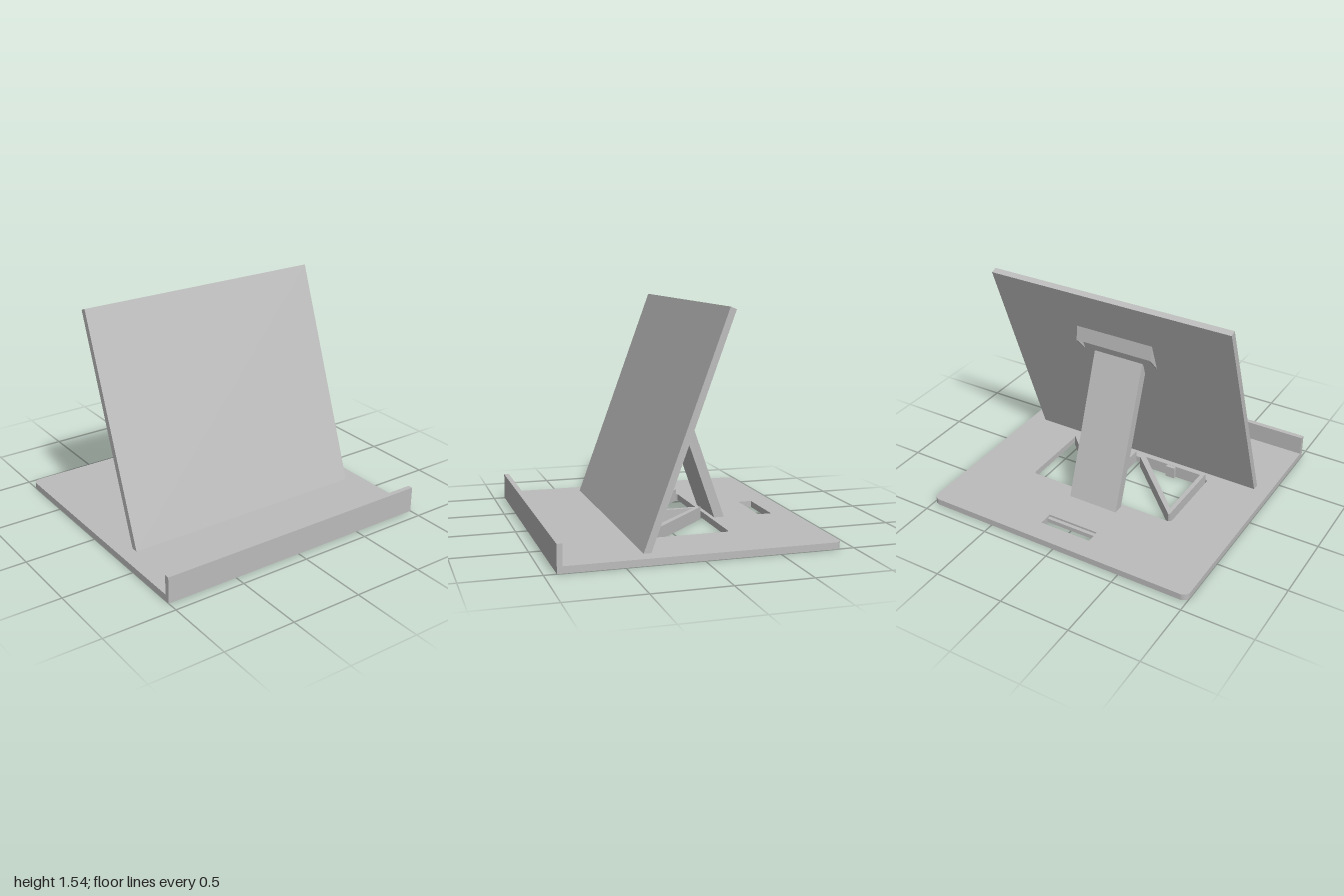
import * as THREE from 'three';

const grey = new THREE.MeshStandardMaterial({ color: 0xbcbcbc });
grey.name = 'plain grey';

const V = (list) => list.map(([a, b]) => new THREE.Vector2(a, b));

// Side profile of [z, y] points, extruded across x and centred on cx
function sideProfile(name, points, width, cx = 0) {
  const geo = new THREE.ExtrudeGeometry(new THREE.Shape(V(points)), { depth: width, bevelEnabled: false });
  geo.rotateY(-Math.PI / 2).translate(cx + width / 2, 0, 0);
  const mesh = new THREE.Mesh(geo, grey);
  mesh.name = name;
  return mesh;
}

// Flat shape drawn in (x, -z), extruded upwards from y0
function slab(name, shape, height, y0 = 0) {
  const geo = new THREE.ExtrudeGeometry(shape, { depth: height, bevelEnabled: false, curveSegments: 8 });
  geo.rotateX(-Math.PI / 2).translate(0, y0, 0);
  const mesh = new THREE.Mesh(geo, grey);
  mesh.name = name;
  return mesh;
}

// Rectangle outline with separate radii for the back and front corners
function rectangle(path, halfX, zBack, zFront, rBack = 0, rFront = rBack) {
  const top = -zBack, bottom = -zFront;
  path.moveTo(-halfX + rFront, bottom);
  path.lineTo(halfX - rFront, bottom);
  if (rFront) path.absarc(halfX - rFront, bottom + rFront, rFront, -Math.PI / 2, 0);
  path.lineTo(halfX, top - rBack);
  if (rBack) path.absarc(halfX - rBack, top - rBack, rBack, 0, Math.PI / 2);
  path.lineTo(-halfX + rBack, top);
  if (rBack) path.absarc(-halfX + rBack, top - rBack, rBack, Math.PI / 2, Math.PI);
  path.lineTo(-halfX, bottom + rFront);
  if (rFront) path.absarc(-halfX + rFront, bottom + rFront, rFront, Math.PI, Math.PI * 1.5);
  path.closePath();
  return path;
}

function box(name, w, h, d, x, y, z) {
  const mesh = new THREE.Mesh(new THREE.BoxGeometry(w, h, d), grey);
  mesh.position.set(x, y, z);
  mesh.name = name;
  return mesh;
}

export function createModel() {
  const model = new THREE.Group();
  model.name = 'foldingStand';

  // Base plate with handle slot, storage opening and two mounting slots
  const base = rectangle(new THREE.Shape(), 1, -0.92, 0.885, 0.05, 0);
  base.holes.push(
    rectangle(new THREE.Path(), 0.19, -0.77, -0.67),
    rectangle(new THREE.Path(), 0.56, -0.32, 0.24, 0.025),
    rectangle(new THREE.Path(), 0.89, 0.31, 0.36),
    rectangle(new THREE.Path(), 0.185, -0.42, -0.35),
  );
  model.add(slab('basePlate', base, 0.045));
  model.add(box('handleSlotLedge', 0.38, 0.03, 0.027, 0, 0.015, -0.683));

  // Upright lip along the front edge
  model.add(box('frontLip', 2, 0.183, 0.035, 0, 0.0915, 0.9025));

  // Leaning panel with its tenon in the base
  model.add(sideProfile('backPanel',
    [[0.36, 0.01], [0.36, 0.045], [-0.19, 1.538], [-0.23, 1.522], [0.31, 0.045], [0.31, 0.01]], 1.78));

  // Rear prop leg with its tenon
  model.add(sideProfile('supportLeg',
    [[-0.35, 0.01], [-0.35, 0.045], [-0.028, 0.95], [-0.052, 1.025], [-0.068, 1.045], [-0.42, 0.045], [-0.42, 0.01]], 0.37));

  // Catch on the panel back: a wedge between two thin cheeks
  const hook = new THREE.Group();
  hook.name = 'legCatch';
  hook.add(sideProfile('catchWedge', [[-0.11, 1.23], [-0.123, 1.23], [-0.136, 1.128], [-0.07, 1.09]], 0.55));
  for (const s of [-1, 1]) {
    hook.add(sideProfile('catchCheek', [[-0.11, 1.23], [-0.124, 1.23], [-0.137, 1.126], [-0.052, 1.03], [-0.04, 1.03]], 0.012, s * 0.28));
  }
  model.add(hook);

  // Two triangular frames stored in the opening
  for (const x of [-0.54, 0.03]) {
    const outline = [[0, -0.3], [0, 0.24], [0.51, 0.24], [0.51, 0.19], [0.012, -0.3]];
    const inner = [[0.03, -0.235], [0.03, 0.21], [0.47, 0.21]];
    const place = (list) => V(list.map(([a, z]) => [x + a, -z]));
    const shape = new THREE.Shape(place(outline));
    shape.holes.push(new THREE.Path(place(inner)));
    const frame = new THREE.Group();
    frame.name = 'triangularFrame';
    frame.add(slab('frameWalls', shape, 0.088, 0.002));
    frame.add(box('frameTab', 0.07, 0.086, 0.03, x + 0.26, 0.046, 0.2));
    model.add(frame);
  }

  return model;
}
